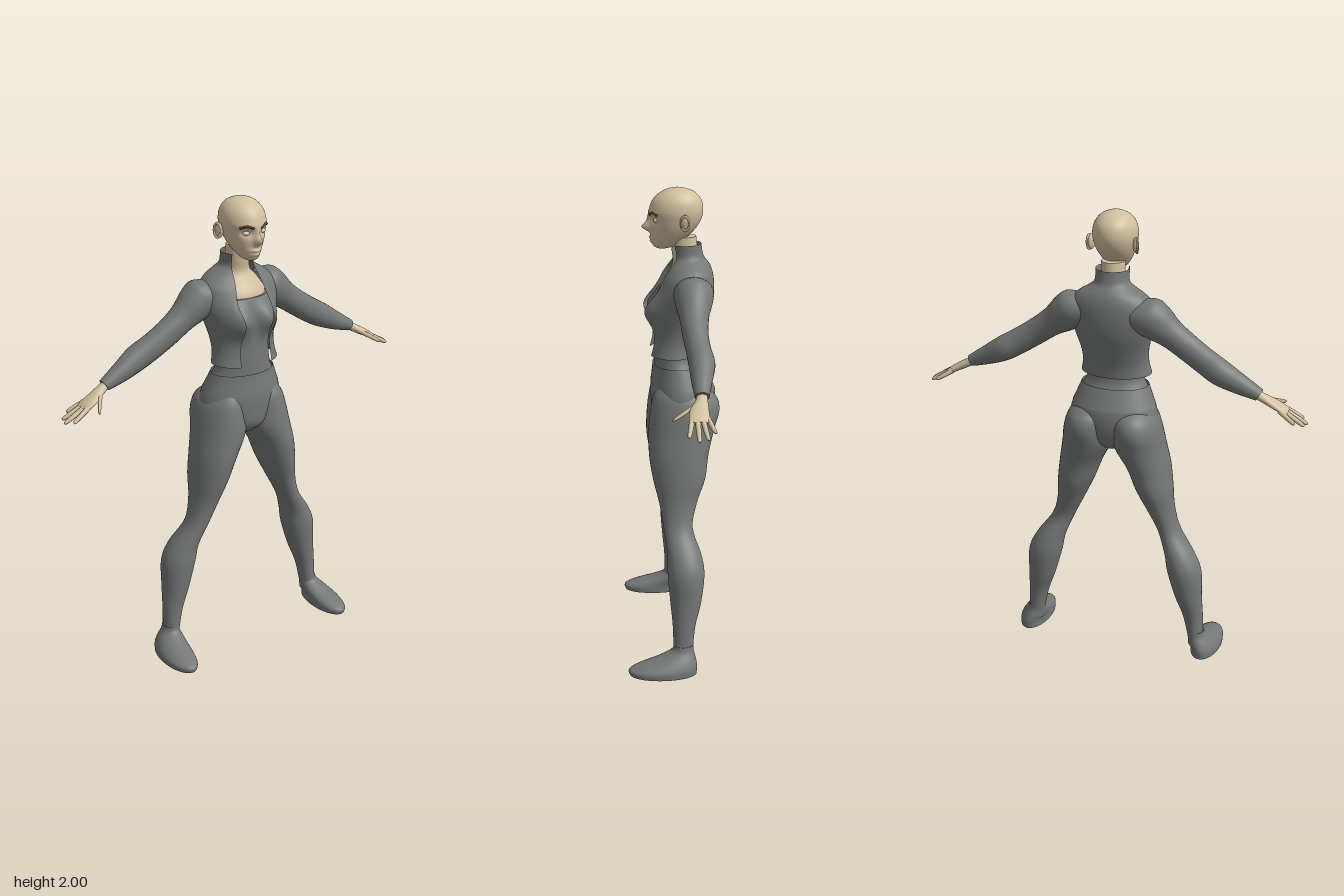
import * as THREE from 'three';

const material = (color) => new THREE.MeshStandardMaterial({ color, side: THREE.DoubleSide });
const suit = material(0x747876), skin = material(0xd2bf9f), brow = material(0x5e4a20), eyeMat = material(0xd8cfc0);

// Smoothly interpolate every number of the given cross-sections
function refine(rings, steps) {
  const out = [];
  const at = (i) => rings[Math.min(Math.max(i, 0), rings.length - 1)];
  for (let i = 0; i < rings.length - 1; i++) {
    for (let s = 0; s < steps; s++) {
      const t = s / steps;
      out.push(rings[i].map((p1, k) => {
        const p0 = at(i - 1)[k], p2 = at(i + 1)[k], p3 = at(i + 2)[k];
        return p1 + 0.5 * t * (p2 - p0 + t * (2 * p0 - 5 * p1 + 4 * p2 - p3 + t * (3 * (p1 - p2) + p3 - p0)));
      }));
    }
  }
  out.push(rings[rings.length - 1]);
  return out;
}

// Skin rows of points; closed rows wrap round and get end caps
function skinRows(rows, closed) {
  if (closed) {
    const centre = (row) => {
      const c = row.reduce((a, p) => a.add(p), new THREE.Vector3()).divideScalar(row.length);
      return row.map(() => c);
    };
    const first = rows[0], last = rows[rows.length - 1];
    rows = [centre(first), first, ...rows, last, centre(last)];
  }
  const n = rows[0].length, index = [], pos = [];
  rows.forEach((row) => row.forEach((p) => pos.push(p.x, p.y, p.z)));
  for (let i = 0; i < rows.length - 1; i++) {
    for (let j = 0; j < (closed ? n : n - 1); j++) {
      const a = i * n + j, b = i * n + (j + 1) % n;
      index.push(a, b, a + n, b, b + n, a + n);
    }
  }
  const g = new THREE.BufferGeometry();
  g.setAttribute('position', new THREE.Float32BufferAttribute(pos, 3));
  g.setIndex(index);
  g.computeVertexNormals();
  return g;
}

// Upright body part; ring: [x, y, zFront, zBack, halfWidth, frontGap]
function upright(rings, { seg = 40, steps = 5, bump = null, closed = true } = {}) {
  const rows = refine(rings, steps).map(([x, y, zf, zb, rx, gap = 0]) => {
    const start = closed ? 0 : Math.asin(Math.min(gap / rx, 1));
    return Array.from({ length: seg }, (_, j) => {
      const a = start + (2 * Math.PI - 2 * start) * j / (closed ? seg : seg - 1);
      const p = new THREE.Vector3(x + rx * Math.sin(a), y, (zf + zb) / 2 + (zf - zb) / 2 * Math.cos(a));
      if (bump && Math.cos(a) > 0) p.z += bump(p.x, y) * Math.min(1, Math.cos(a) * 2);
      return p;
    });
  });
  return skinRows(rows, closed);
}

// Limb running out along +x and down; ring: [x, y, z, thickness, depth]
function limb(rings, seg = 24, steps = 5) {
  return skinRows(refine(rings, steps).map(([x, y, z, r, d]) =>
    Array.from({ length: seg }, (_, j) => {
      const a = 2 * Math.PI * j / seg, s = Math.sin(a) * r;
      return new THREE.Vector3(x - 0.5 * s, y - 0.866 * s, z + d * Math.cos(a));
    })), true);
}

function mirrored(geometry) {
  const g = geometry.clone().scale(-1, 1, 1), ix = g.index.array;
  for (let i = 0; i < ix.length; i += 3) [ix[i], ix[i + 1]] = [ix[i + 1], ix[i]];
  g.computeVertexNormals();
  return g;
}

const hill = (x, y, cx, cy, sx, sy) => Math.exp(-(((x - cx) / sx) ** 2) - ((y - cy) / sy) ** 2);
const bust = (x, y) => 0.055 * hill(Math.abs(x), y, 0.07, 1.5, 0.06, 0.065);
const face = (x, y) => {
  const ax = Math.abs(x);
  return 0.028 * hill(x, y, 0, 1.838, 0.014, 0.017) + 0.012 * hill(x, y, 0, 1.86, 0.011, 0.03)
    + 0.011 * hill(x, y, 0, 1.797, 0.024, 0.007) + 0.01 * hill(x, y, 0, 1.781, 0.02, 0.007)
    - 0.013 * hill(ax, y, 0.038, 1.872, 0.021, 0.015) + 0.004 * hill(ax, y, 0.038, 1.9, 0.03, 0.01);
};

export function createModel() {
  const model = new THREE.Group();
  const add = (name, geometry, mat) => {
    const m = new THREE.Mesh(geometry, mat);
    m.name = name;
    model.add(m);
  };
  const pair = (name, geometry, mat) => {
    add('left' + name, geometry, mat);
    add('right' + name, mirrored(geometry), mat);
  };

  // Torso, with bare chest and neck above the neckline
  add('torso', upright([
    [0, 0.985, 0.03, -0.1, 0.05], [0, 1.03, 0.075, -0.15, 0.13], [0, 1.1, 0.085, -0.17, 0.19],
    [0, 1.18, 0.085, -0.165, 0.18], [0, 1.24, 0.072, -0.13, 0.148], [0, 1.3, 0.07, -0.105, 0.122],
    [0, 1.4, 0.065, -0.115, 0.12], [0, 1.5, 0.055, -0.15, 0.14], [0, 1.56, 0.05, -0.15, 0.14],
    [0, 1.59, 0.045, -0.15, 0.13]], { bump: bust, seg: 64 }), suit);
  add('neck', upright([
    [0, 1.54, 0.05, -0.12, 0.11], [0, 1.6, 0.042, -0.13, 0.115], [0, 1.65, 0.012, -0.13, 0.09],
    [0, 1.69, -0.008, -0.12, 0.056], [0, 1.74, -0.004, -0.112, 0.05], [0, 1.8, 0.0, -0.105, 0.048]]), skin);
  add('waistband', upright([
    [0, 1.18, 0.087, -0.167, 0.181, 0], [0, 1.23, 0.08, -0.142, 0.16, 0], [0, 1.265, 0.077, -0.125, 0.146, 0]],
    { closed: false, seg: 49 }), suit);

  // Open cropped jacket with a stand-up collar
  add('jacket', upright([
    [0, 1.31, 0.1, -0.115, 0.152, 0.075], [0, 1.36, 0.09, -0.122, 0.142, 0.075],
    [0, 1.42, 0.08, -0.142, 0.145, 0.07], [0, 1.5, 0.07, -0.17, 0.165, 0.072],
    [0, 1.57, 0.062, -0.18, 0.182, 0.078], [0, 1.63, 0.042, -0.178, 0.175, 0.068],
    [0, 1.67, 0.018, -0.168, 0.14, 0.06], [0, 1.695, 0.004, -0.153, 0.1, 0.056],
    [0, 1.72, 0.0, -0.135, 0.072, 0.052], [0, 1.77, 0.012, -0.126, 0.07, 0.054]],
    { bump: bust, closed: false, seg: 72 }), suit);

  // Legs and shoes
  pair('Leg', upright([
    [0.095, 1.18, 0.06, -0.13, 0.06], [0.1, 1.14, 0.08, -0.185, 0.09], [0.107, 1.08, 0.092, -0.2, 0.104],
    [0.116, 1.0, 0.1, -0.178, 0.11], [0.152, 0.9, 0.1, -0.152, 0.093], [0.178, 0.8, 0.085, -0.137, 0.079],
    [0.206, 0.7, 0.06, -0.1, 0.06], [0.245, 0.6, 0.043, -0.08, 0.05], [0.3, 0.5, 0.03, -0.113, 0.066],
    [0.325, 0.42, 0.03, -0.125, 0.075], [0.345, 0.3, 0.02, -0.11, 0.06], [0.366, 0.2, 0.011, -0.085, 0.045],
    [0.38, 0.1, 0.01, -0.075, 0.036], [0.388, 0.05, 0.02, -0.075, 0.04]]), suit);
  pair('Shoe', upright([
    [0.412, 0, 0.196, -0.088, 0.066], [0.412, 0.022, 0.2, -0.09, 0.066], [0.408, 0.04, 0.165, -0.09, 0.062],
    [0.398, 0.065, 0.085, -0.085, 0.053], [0.386, 0.095, 0.02, -0.077, 0.039], [0.382, 0.12, 0.008, -0.075, 0.035]]), suit);

  // Sleeves
  pair('Sleeve', limb([
    [0.08, 1.6, -0.085, 0.06, 0.07], [0.15, 1.592, -0.085, 0.082, 0.082], [0.2, 1.565, -0.083, 0.077, 0.076],
    [0.26, 1.52, -0.08, 0.06, 0.06], [0.33, 1.47, -0.08, 0.056, 0.052], [0.4, 1.425, -0.087, 0.055, 0.05],
    [0.47, 1.385, -0.096, 0.054, 0.052], [0.55, 1.343, -0.09, 0.042, 0.041], [0.63, 1.306, -0.085, 0.026, 0.028]]), suit);

  // Hands: palm, then four fingers and a thumb from root to tip
  pair('Palm', limb([
    [0.61, 1.315, -0.085, 0.018, 0.02], [0.645, 1.295, -0.082, 0.018, 0.024], [0.69, 1.27, -0.07, 0.017, 0.037],
    [0.73, 1.248, -0.068, 0.013, 0.04], [0.745, 1.24, -0.068, 0.008, 0.036]]), skin);
  const fingers = [
    [[0.715, 1.254, -0.098], [0.785, 1.213, -0.125]], [[0.725, 1.25, -0.08], [0.82, 1.199, -0.096]],
    [[0.725, 1.25, -0.061], [0.828, 1.195, -0.062]], [[0.72, 1.252, -0.042], [0.805, 1.204, -0.025]],
    [[0.66, 1.284, -0.062], [0.72, 1.243, 0.03]]];
  fingers.forEach(([a, b], i) => {
    const ring = (t, r) => [...a.map((v, k) => v + (b[k] - v) * t), r, r];
    pair(i < 4 ? 'Finger' + (i + 1) : 'Thumb',
      limb([ring(0, 0.011), ring(0.5, 0.01), ring(0.9, 0.008), ring(1, 0.003)], 12, 3), skin);
  });

  // Head with modelled face
  add('head', upright([
    [0, 1.752, 0.058, 0.01, 0.018], [0, 1.763, 0.073, -0.025, 0.035], [0, 1.79, 0.078, -0.06, 0.055],
    [0, 1.83, 0.084, -0.1, 0.075], [0, 1.87, 0.088, -0.125, 0.087], [0, 1.91, 0.089, -0.133, 0.092],
    [0, 1.95, 0.074, -0.125, 0.083], [0, 1.98, 0.042, -0.098, 0.06], [0, 1.995, 0.008, -0.062, 0.03],
    [0, 2, -0.02, -0.034, 0.007]], { bump: face, seg: 96, steps: 8 }), skin);
  pair('Eye', new THREE.SphereGeometry(0.015, 20, 14).scale(1.1, 0.75, 0.8).translate(0.038, 1.872, 0.062), eyeMat);
  const browCurve = new THREE.CatmullRomCurve3([
    new THREE.Vector3(0.016, 1.892, 0.087), new THREE.Vector3(0.04, 1.902, 0.079), new THREE.Vector3(0.066, 1.894, 0.056)]);
  pair('Eyebrow', new THREE.TubeGeometry(browCurve, 12, 0.006, 8), brow);
  pair('Ear', new THREE.SphereGeometry(0.03, 20, 14).scale(0.35, 1.05, 0.65)
    .rotateY(-0.45).translate(0.093, 1.868, -0.05), skin);
  pair('EarRim', new THREE.TorusGeometry(0.022, 0.005, 8, 24).scale(0.75, 1.3, 1)
    .rotateY(Math.PI / 2 - 0.45).translate(0.1, 1.868, -0.053), skin);
  return model;
}
